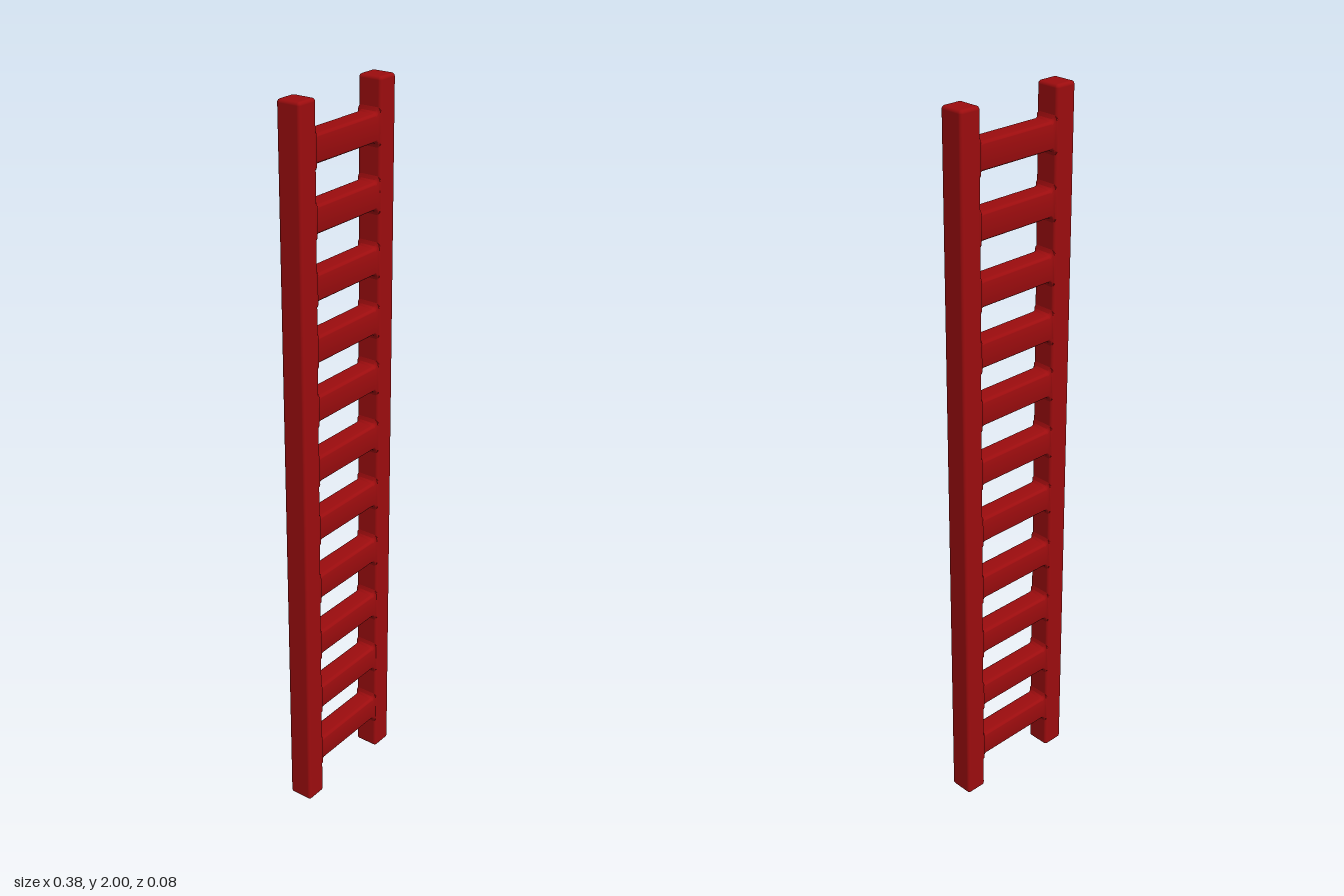
import * as THREE from 'three';
import { RoundedBoxGeometry } from 'three/addons/geometries/RoundedBoxGeometry.js';
import { toCreasedNormals } from 'three/addons/utils/BufferGeometryUtils.js';

const RAIL_W = 0.063, RAIL_D = 0.07, RAIL_X = 0.157;
const RUNG_H = 0.072, RUNG_D = 0.058, FILLET = 0.014;
const INNER = RAIL_X - RAIL_W / 2;

function roundedRect(w, h, r) {
  const s = new THREE.Shape();
  const x = w / 2, y = h / 2;
  s.absarc(x - r, y - r, r, 0, Math.PI / 2);
  s.absarc(-x + r, y - r, r, Math.PI / 2, Math.PI);
  s.absarc(-x + r, -y + r, r, Math.PI, Math.PI * 1.5);
  s.absarc(x - r, -y + r, r, Math.PI * 1.5, Math.PI * 2);
  s.closePath();
  return s;
}

// Rung along x whose ends flare into the rails with a small fillet
function rungGeometry() {
  const half = [];
  for (let i = 0; i <= 4; i++) {
    const a = (i / 4) * Math.PI / 2;
    half.push({
      x: INNER - FILLET * (1 - Math.sin(a)),
      grow: FILLET * (1 - Math.cos(a)),
    });
  }
  half.push({ x: INNER + 0.008, grow: FILLET });
  const stations = [...half.map(s => ({ x: -s.x, grow: s.grow })).reverse(), ...half];
  const steps = stations.length - 1;
  const geo = new THREE.ExtrudeGeometry(roundedRect(RUNG_D, RUNG_H, 0.009), {
    depth: steps, steps, bevelEnabled: false, curveSegments: 3,
  });
  geo.rotateY(Math.PI / 2);
  const p = geo.attributes.position;
  for (let i = 0; i < p.count; i++) {
    const { x, grow } = stations[Math.round(p.getX(i))];
    // the depth flare stays just inside the rail faces
    p.setXYZ(i, x,
      p.getY(i) * (1 + grow / (RUNG_H / 2)),
      p.getZ(i) * (1 + 0.35 * grow / (RUNG_D / 2)));
  }
  return toCreasedNormals(geo, 0.7);
}

export function createModel() {
  const model = new THREE.Group();
  model.name = 'ladder';
  const paint = new THREE.MeshStandardMaterial({ color: 0x9c0c0e });

  // Frame leans very slightly back and sideways
  const frame = new THREE.Group();
  frame.name = 'frame';
  frame.position.y = 1;
  frame.rotation.set(-0.006, 0, -0.0018);
  model.add(frame);

  // Side rails
  const railGeo = new RoundedBoxGeometry(RAIL_W, 1.999, RAIL_D, 3, 0.009);
  for (const [name, side] of [['leftRail', 1], ['rightRail', -1]]) {
    const rail = new THREE.Mesh(railGeo, paint);
    rail.name = name;
    rail.position.x = side * RAIL_X;
    frame.add(rail);
  }

  // Rungs, a little unevenly spaced
  const rungGeo = rungGeometry();
  const heights = [0.14, 0.318, 0.498, 0.678, 0.858, 1.033, 1.205, 1.367, 1.531, 1.703, 1.875];
  heights.forEach((y, i) => {
    const rung = new THREE.Mesh(rungGeo, paint);
    rung.name = `rung${i + 1}`;
    rung.position.y = y - 1;
    frame.add(rung);
  });

  return model;
}
